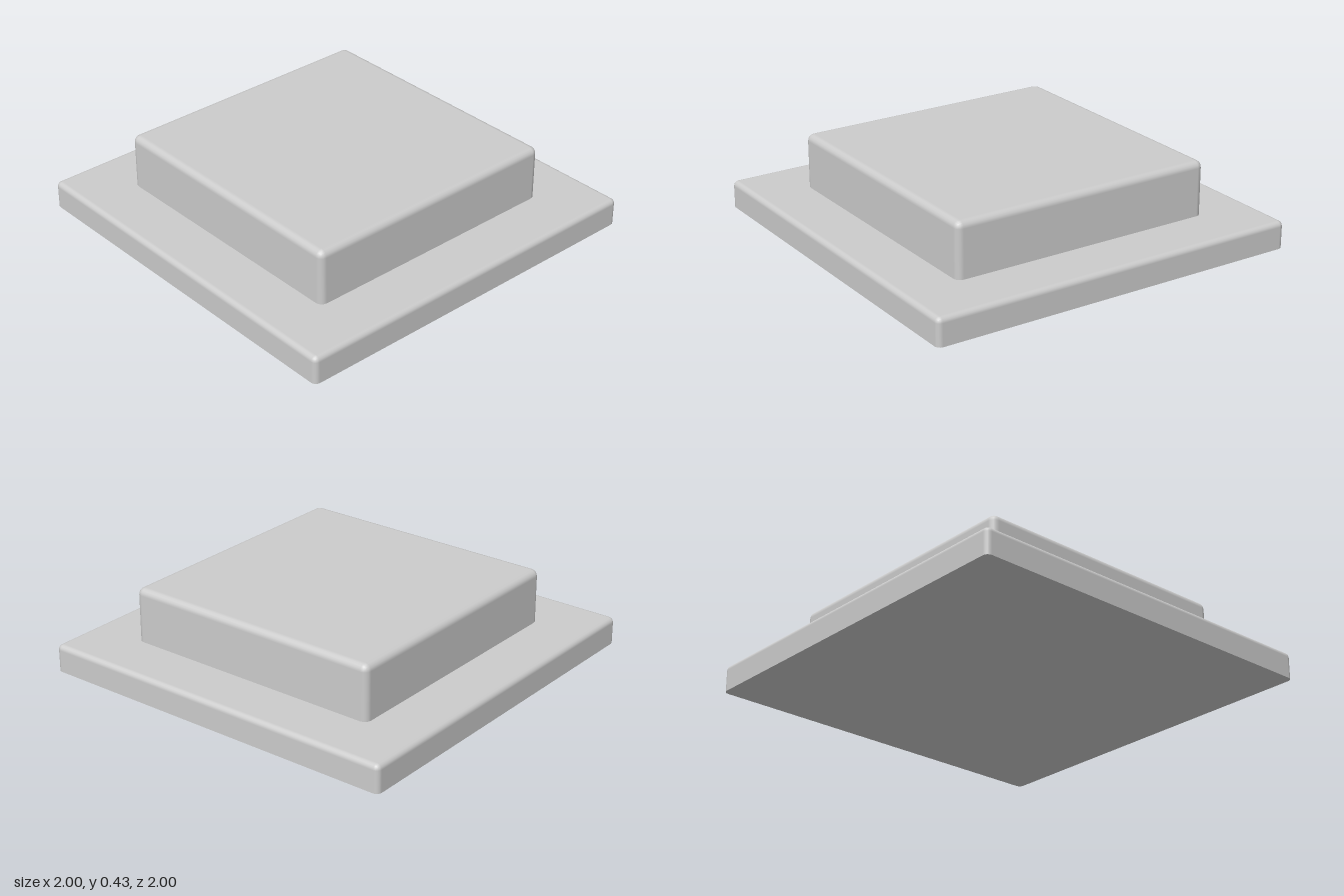
import * as THREE from 'three';
import { RoundedBoxGeometry } from 'three/addons/geometries/RoundedBoxGeometry.js';

// Square slab with rounded top and vertical edges and a flat, sharp-edged underside.
function slabGeometry(width, height, radius) {
  const geometry = new RoundedBoxGeometry(width, height + radius, width, 2, radius);
  geometry.translate(0, (height - radius) / 2, 0);
  const position = geometry.attributes.position;
  const normal = geometry.attributes.normal;

  // Flatten the lower rounding onto y = 0
  for (let i = 0; i < position.count; i++) {
    if (position.getY(i) < 1e-5) position.setY(i, 0);
  }
  // Triangles lying in the underside face straight down
  for (let i = 0; i < position.count; i += 3) {
    const corners = [i, i + 1, i + 2];
    if (corners.every((c) => position.getY(c) === 0)) {
      corners.forEach((c) => normal.setXYZ(c, 0, -1, 0));
    }
  }
  return geometry;
}

export function createModel() {
  const group = new THREE.Group();
  group.name = 'steppedPlinth';
  const material = new THREE.MeshStandardMaterial({ color: 0xcccccc });

  const addSlab = (name, width, height, radius, y) => {
    const mesh = new THREE.Mesh(slabGeometry(width, height, radius), material);
    mesh.name = name;
    mesh.position.y = y;
    group.add(mesh);
  };

  // Wide base and the smaller block standing on it
  addSlab('basePlate', 2, 0.143, 0.028, 0);
  addSlab('upperBlock', 1.428, 0.286, 0.036, 0.143);

  return group;
}
